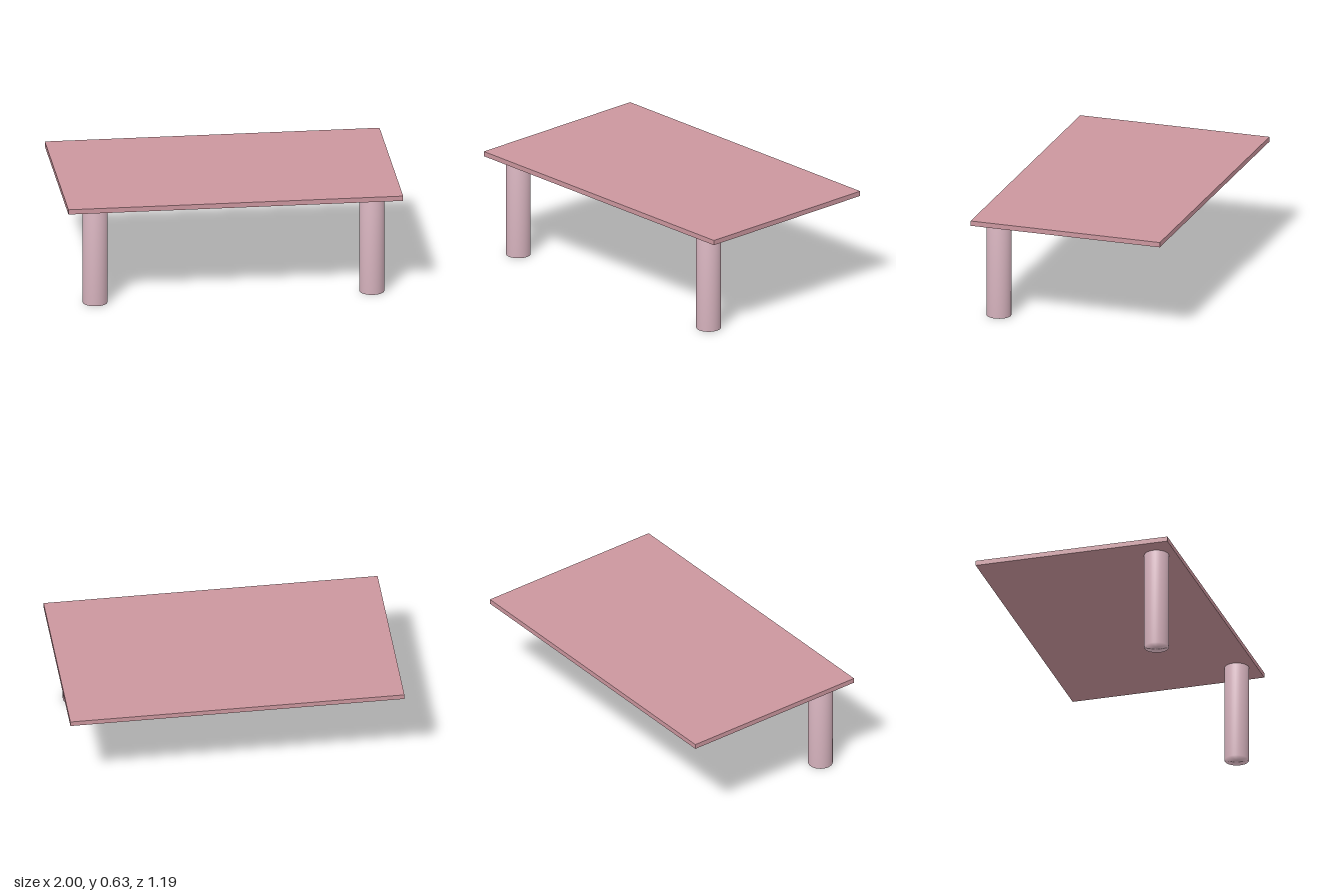
import * as THREE from 'three';
import { mergeVertices } from 'three/addons/utils/BufferGeometryUtils.js';

const TOP_Y = 0.603, THICKNESS = 0.03, DEPTH = 1.187;
const LEG_RADIUS = 0.0735, LEG_X = 0.827, LEG_Z = 0.475;

// Cylinder whose normals are blended softly over the rims
function softCylinder(radius, height) {
  const geometry = new THREE.CylinderGeometry(radius, radius, height, 32);
  geometry.deleteAttribute('normal');
  geometry.deleteAttribute('uv');
  const merged = mergeVertices(geometry, 1e-5);
  merged.computeVertexNormals();
  return merged;
}

export function createModel() {
  const model = new THREE.Group();
  model.name = 'table';

  // Thin rectangular top
  const top = new THREE.Mesh(
    new THREE.BoxGeometry(2, THICKNESS, DEPTH),
    new THREE.MeshStandardMaterial({ color: 0xcb969e })
  );
  top.name = 'tableTop';
  top.position.y = TOP_Y + THICKNESS / 2;
  model.add(top);

  // Two round legs under the front corners
  const legGeometry = softCylinder(LEG_RADIUS, TOP_Y);
  const legMaterial = new THREE.MeshStandardMaterial({ color: 0xd9b5c0 });
  for (const side of [1, -1]) {
    const leg = new THREE.Mesh(legGeometry, legMaterial);
    leg.name = side > 0 ? 'frontLegLeft' : 'frontLegRight';
    leg.position.set(side * LEG_X, TOP_Y / 2, LEG_Z);
    model.add(leg);
  }

  return model;
}
